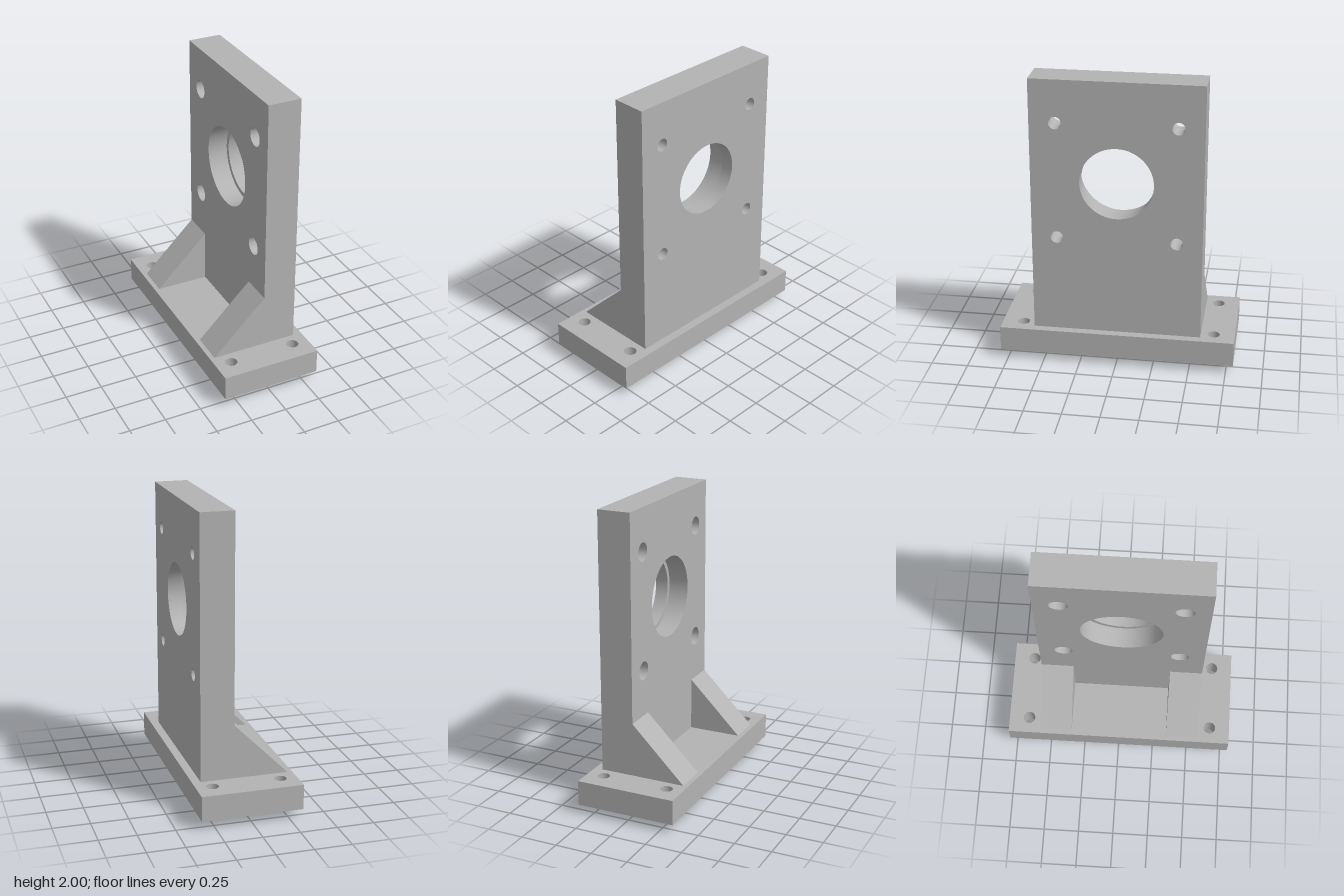
import * as THREE from 'three';
import { toCreasedNormals } from 'three/addons/utils/BufferGeometryUtils.js';

const BASE_BOTTOM = 0.06, BASE_TOP = 0.23;
const PLATE_BACK = 0.057, PLATE_STEP = 0.195, PLATE_FRONT = 0.285;

// Rectangle with round holes given as [x, y, radius]
function drilledRect(x0, y0, x1, y1, holes) {
  const shape = new THREE.Shape();
  shape.moveTo(x0, y0).lineTo(x1, y0).lineTo(x1, y1).lineTo(x0, y1).closePath();
  for (const [x, y, r] of holes) {
    shape.holes.push(new THREE.Path().absarc(x, y, r, 0, Math.PI * 2, true));
  }
  return shape;
}

function extrude(shape, depth) {
  return new THREE.ExtrudeGeometry(shape, { depth, bevelEnabled: false, curveSegments: 48 });
}

export function createModel() {
  const group = new THREE.Group();
  group.name = 'mountingBracket';
  const metal = new THREE.MeshStandardMaterial({ color: 0xb3b3b3 });
  metal.name = 'grey metal';

  const add = (name, geometry) => {
    const mesh = new THREE.Mesh(toCreasedNormals(geometry, 0.5), metal);
    mesh.name = name;
    group.add(mesh);
    return mesh;
  };

  // Base with four corner holes
  const corners = [];
  for (const x of [-0.23, 0.23]) for (const z of [-0.657, 0.657]) corners.push([x, z, 0.042]);
  const base = extrude(drilledRect(-0.342, -0.8, 0.342, 0.8, corners), BASE_TOP - BASE_BOTTOM);
  add('base', base.rotateX(-Math.PI / 2).translate(0, BASE_BOTTOM, 0));

  // Upright plate in two layers: narrow holes on the +x side, counterbores on the -x side
  const layer = (name, x0, x1, boreRadius, boltRadius) => {
    const holes = [[0, 1.31, boreRadius]];
    for (const z of [-0.4, 0.4]) for (const y of [0.91, 1.71]) holes.push([z, y, boltRadius]);
    const geometry = extrude(drilledRect(-0.57, BASE_TOP, 0.57, 2, holes), x1 - x0);
    add(name, geometry.rotateY(Math.PI / 2).translate(x0, 0, 0));
  };
  layer('plateOuterLayer', PLATE_STEP, PLATE_FRONT, 0.245, 0.042);
  layer('plateCounterboredLayer', PLATE_BACK, PLATE_STEP, 0.275, 0.063);

  // Triangular gussets and locating pins, mirrored in z
  const triangle = new THREE.Shape();
  triangle.moveTo(-0.31, BASE_TOP).lineTo(PLATE_BACK, BASE_TOP).lineTo(PLATE_BACK, 0.597).closePath();
  for (const side of [-1, 1]) {
    const label = side > 0 ? 'front' : 'back';
    add(label + 'Gusset', extrude(triangle, 0.227)).position.z = side * 0.4565 - 0.1135;
    add(label + 'Pin', new THREE.CylinderGeometry(0.057, 0.057, BASE_BOTTOM, 48))
      .position.set(-0.118, BASE_BOTTOM / 2, side * 0.285);
  }
  return group;
}
